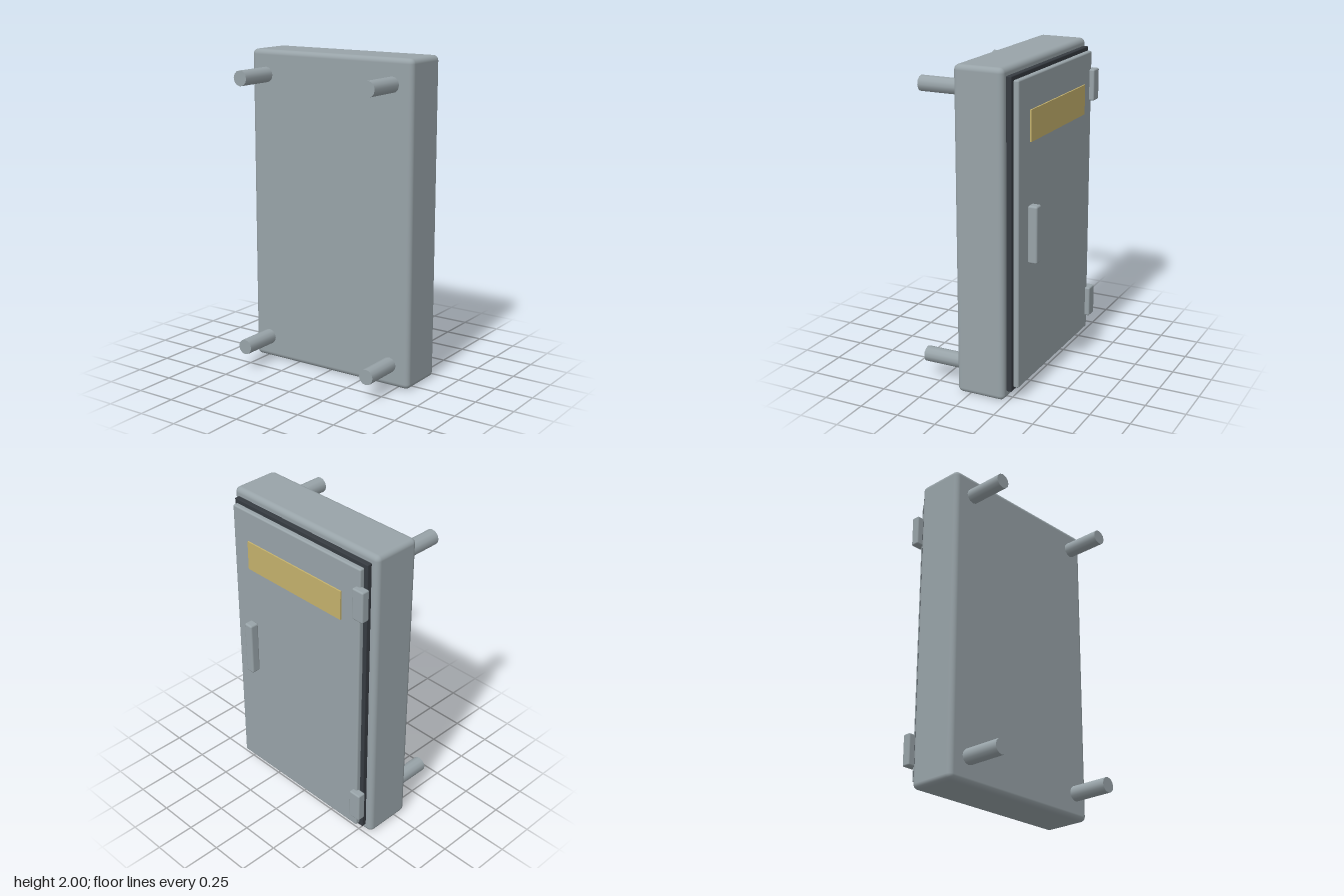
import * as THREE from 'three';
import { RoundedBoxGeometry } from 'three/addons/geometries/RoundedBoxGeometry.js';

const material = (name, color) => {
  const m = new THREE.MeshStandardMaterial({ color });
  m.name = name;
  return m;
};

export function createModel() {
  const steel = material('painted steel', 0x98a3a8);
  const rubber = material('dark rubber', 0x363b41);
  const brass = material('brass', 0xc4b16c);

  const model = new THREE.Group();
  model.name = 'wallCabinet';

  // Rounded box given by its extents on each axis
  const block = (name, mat, [x0, x1], [y0, y1], [z0, z1], radius) => {
    const geometry = new RoundedBoxGeometry(x1 - x0, y1 - y0, z1 - z0, 3, radius);
    const mesh = new THREE.Mesh(geometry, mat);
    mesh.name = name;
    mesh.position.set((x0 + x1) / 2, (y0 + y1) / 2, (z0 + z1) / 2);
    model.add(mesh);
  };

  // Cabinet shell, seal and door, with the door facing -z
  block('body', steel, [-0.583, 0.583], [0, 2], [-0.229, 0.083], 0.032);
  block('gasket', rubber, [-0.541, 0.541], [0.052, 1.953], [-0.262, -0.228], 0.006);
  block('door', steel, [-0.52, 0.52], [0.075, 1.93], [-0.297, -0.261], 0.01);

  // Door fittings
  block('handle', steel, [0.338, 0.4], [0.828, 1.18], [-0.356, -0.295], 0.012);
  for (const y of [0.162, 1.62]) {
    block('hinge', steel, [-0.57, -0.487], [y, y + 0.198], [-0.328, -0.274], 0.01);
  }

  // Thin label plate standing just off the door
  const plate = new THREE.Mesh(new THREE.BoxGeometry(0.77, 0.186, 0.009), brass);
  plate.name = 'labelPlate';
  plate.position.set(0, 1.648, -0.307);
  model.add(plate);

  // Four mounting posts on the wall side
  const postGeometry = new THREE.CylinderGeometry(0.048, 0.048, 0.255, 12).rotateX(Math.PI / 2);
  for (const x of [-0.457, 0.457]) {
    for (const y of [0.147, 1.848]) {
      const post = new THREE.Mesh(postGeometry, steel);
      post.name = 'mountingPost';
      post.position.set(x, y, 0.2285);
      model.add(post);
    }
  }
  return model;
}
